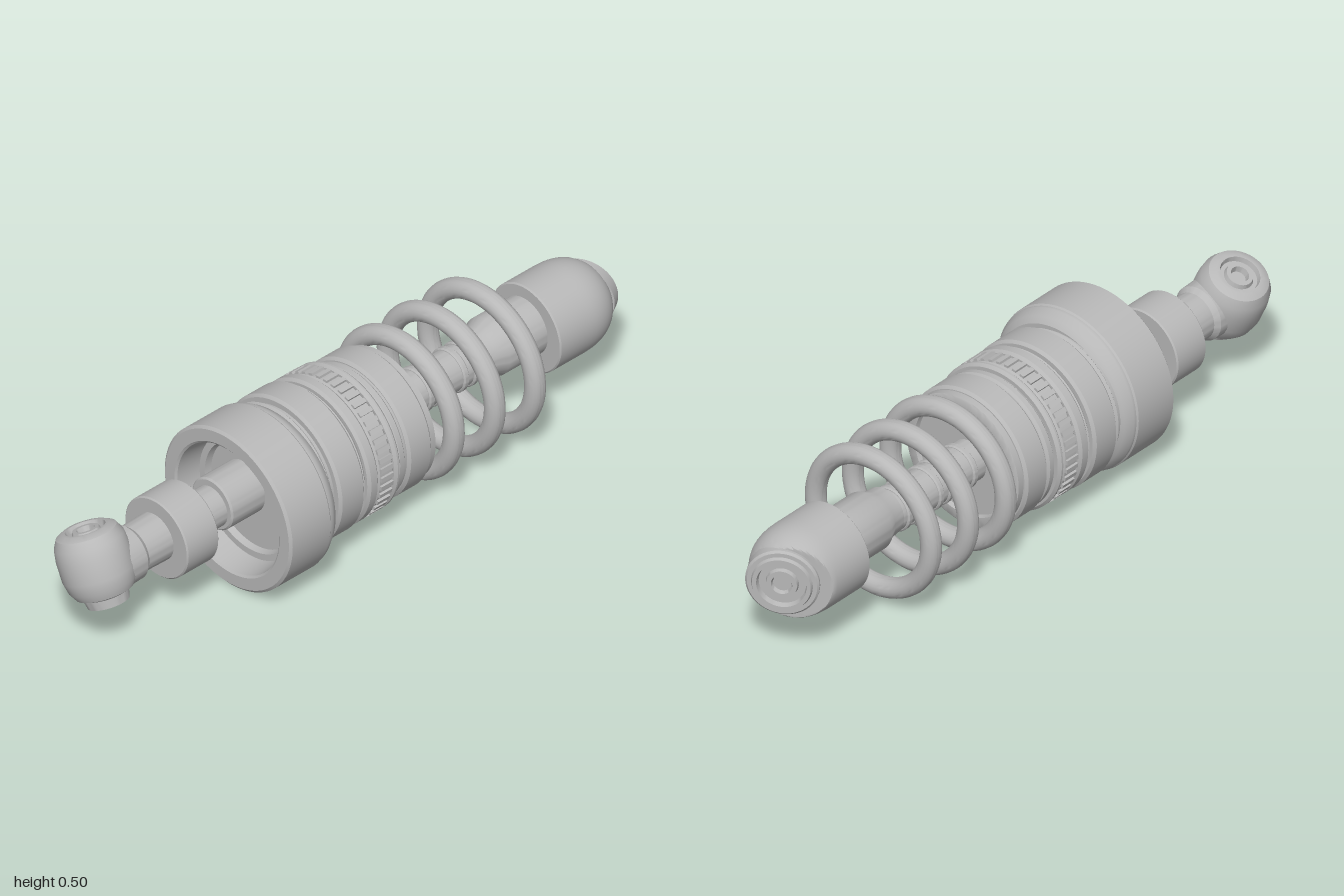
import * as THREE from 'three';
import { toCreasedNormals, mergeGeometries } from 'three/addons/utils/BufferGeometryUtils.js';

const steel = new THREE.MeshStandardMaterial({ color: 0xb8b8b8 });
steel.name = 'steel grey';

// Solid of revolution about y; points are [height, radius]
function revolve(points, segments = 64) {
  return new THREE.LatheGeometry(points.map(([h, r]) => new THREE.Vector2(r, h)), segments);
}

// Solid of revolution about the x axis; points are [x, radius]
const turned = (points, segments) => revolve(points, segments).rotateZ(-Math.PI / 2);

// Bevelled ring profile, closed down to the axis
function drum(x0, x1, r, b = 0.008) {
  return [[x0, 0], [x0, r - b], [x0 + b, r], [x1 - b, r], [x1, r - b], [x1, 0]];
}

export function createModel() {
  const model = new THREE.Group();
  model.name = 'shockAbsorber';

  function add(name, geometry, y = 0, z = 0, x = 0) {
    const mesh = new THREE.Mesh(toCreasedNormals(geometry, 0.6), steel);
    mesh.name = name;
    mesh.position.set(x, y, z);
    model.add(mesh);
    return mesh;
  }

  // Mounting eye: tilted barrel with stepped, recessed bosses on both ends
  const eye = add('mountingEye', revolve([
    [-0.10, 0], [-0.10, 0.018], [-0.118, 0.022], [-0.118, 0.032], [-0.108, 0.036],
    [-0.108, 0.046], [-0.122, 0.05], [-0.122, 0.06], [-0.095, 0.066],
    [-0.088, 0.083], [-0.065, 0.097], [-0.03, 0.105], [0.03, 0.105], [0.065, 0.1],
    [0.09, 0.087], [0.1, 0.068], [0.1, 0.058], [0.085, 0.054], [0.085, 0.042],
    [0.098, 0.038], [0.098, 0.026], [0.08, 0.022], [0.08, 0],
  ], 48), 0.275, -0.055, -0.895);
  eye.rotation.x = -0.43;

  // Neck, collar and thin rod behind the cup
  add('eyeNeck', turned([[-0.87, 0], [-0.87, 0.085], [-0.79, 0.082], [-0.775, 0.07],
    [-0.68, 0.072], [-0.68, 0]]), 0.262, -0.038);
  add('rodCollar', turned(drum(-0.685, -0.565, 0.124, 0.004)), 0.257, -0.035);
  add('rod', turned([[-0.57, 0], [-0.57, 0.062], [0.58, 0.062], [0.58, 0]]), 0.26, -0.034);
  add('rodNut', turned(drum(-0.475, -0.3, 0.08, 0.005)), 0.265, -0.034);

  // Large cup, hollow toward the rod side
  add('endCup', turned([
    [-0.35, 0], [-0.35, 0.165], [-0.37, 0.17], [-0.37, 0.19], [-0.445, 0.2],
    [-0.45, 0.206], [-0.45, 0.243], [-0.443, 0.251], [-0.3, 0.251], [-0.295, 0.247],
    [-0.285, 0.247], [-0.262, 0.232], [-0.25, 0.215], [-0.25, 0],
  ], 96), 0.252, 0);

  // Threaded body: core with a row of wider rings
  add('bodyCore', turned([[-0.27, 0], [-0.27, 0.203], [0.165, 0.203], [0.168, 0.198],
    [0.168, 0.172], [0.155, 0.168], [0.155, 0]], 96), 0.256, -0.02);
  for (const [x0, x1, r] of [[-0.243, -0.228, 0.213], [-0.218, -0.122, 0.227],
    [-0.122, -0.106, 0.214], [-0.106, -0.066, 0.224], [-0.066, -0.004, 0.217],
    [-0.004, 0.018, 0.223], [0.018, 0.05, 0.209], [0.055, 0.145, 0.214]]) {
    add('bodyRing', turned(drum(x0, x1, r), 96), 0.256, -0.021);
  }

  // Grip ribs around the adjuster ring
  const ribs = [];
  const ribCount = 48;
  for (let i = 0; i < ribCount; i++) {
    ribs.push(new THREE.BoxGeometry(0.046, 0.012, 0.014)
      .translate(-0.035, 0.218, 0).rotateX((i / ribCount) * Math.PI * 2));
  }
  add('adjusterRibs', mergeGeometries(ribs), 0.256, -0.021);

  // Spring coils
  for (const x of [0.235, 0.39, 0.543]) {
    const coil = add('springCoil',
      new THREE.TorusGeometry(0.204, 0.03, 20, 80).rotateY(Math.PI / 2), 0.254, -0.028, x);
    coil.rotation.y = 0.03;
  }

  // Ridges on the rod inside the spring, and the wider sleeve
  for (const x of [0.2, 0.3, 0.34, 0.43, 0.47]) {
    add('rodRidge', turned(drum(x - 0.01, x + 0.01, 0.068, 0.004)), 0.26, -0.034);
  }
  add('rodSleeve', turned([[0.5, 0], [0.5, 0.07], [0.54, 0.074], [0.57, 0.088],
    [0.73, 0.088], [0.73, 0]]), 0.268, -0.032);

  // End cap: rounded cylinder sliced by a slanted plane
  const capProfile = [[0.713, 0], [0.713, 0.133], [0.717, 0.137]];
  for (let i = 0; i <= 20; i++) {
    const a = (i / 20) * Math.PI / 2;
    capProfile.push([0.83 + 0.15 * Math.sin(a) ** 0.8, 0.137 * Math.cos(a) ** 0.8]);
  }
  capProfile[capProfile.length - 1][1] = 0;
  const cap = turned(capProfile, 72);
  const p = cap.attributes.position;
  for (let i = 0; i < p.count; i++) {
    p.setX(i, Math.min(p.getX(i), 0.935 + 0.577 * (p.getZ(i) + 0.015)));
  }
  add('endCap', cap, 0.258, -0.03);

  // Stepped bushing on the slanted face
  const bushing = add('endBushing', revolve([
    [-0.03, 0], [-0.03, 0.104], [0.006, 0.104], [0.012, 0.098], [0.012, 0.086],
    [0.022, 0.082], [0.022, 0.07], [0.006, 0.066], [0.006, 0.046], [0.018, 0.043],
    [0.018, 0.03], [0.006, 0.026], [0.006, 0],
  ], 48), 0.262, -0.045, 0.937);
  bushing.quaternion.setFromUnitVectors(new THREE.Vector3(0, 1, 0),
    new THREE.Vector3(0.866, 0, -0.5));

  return model;
}
